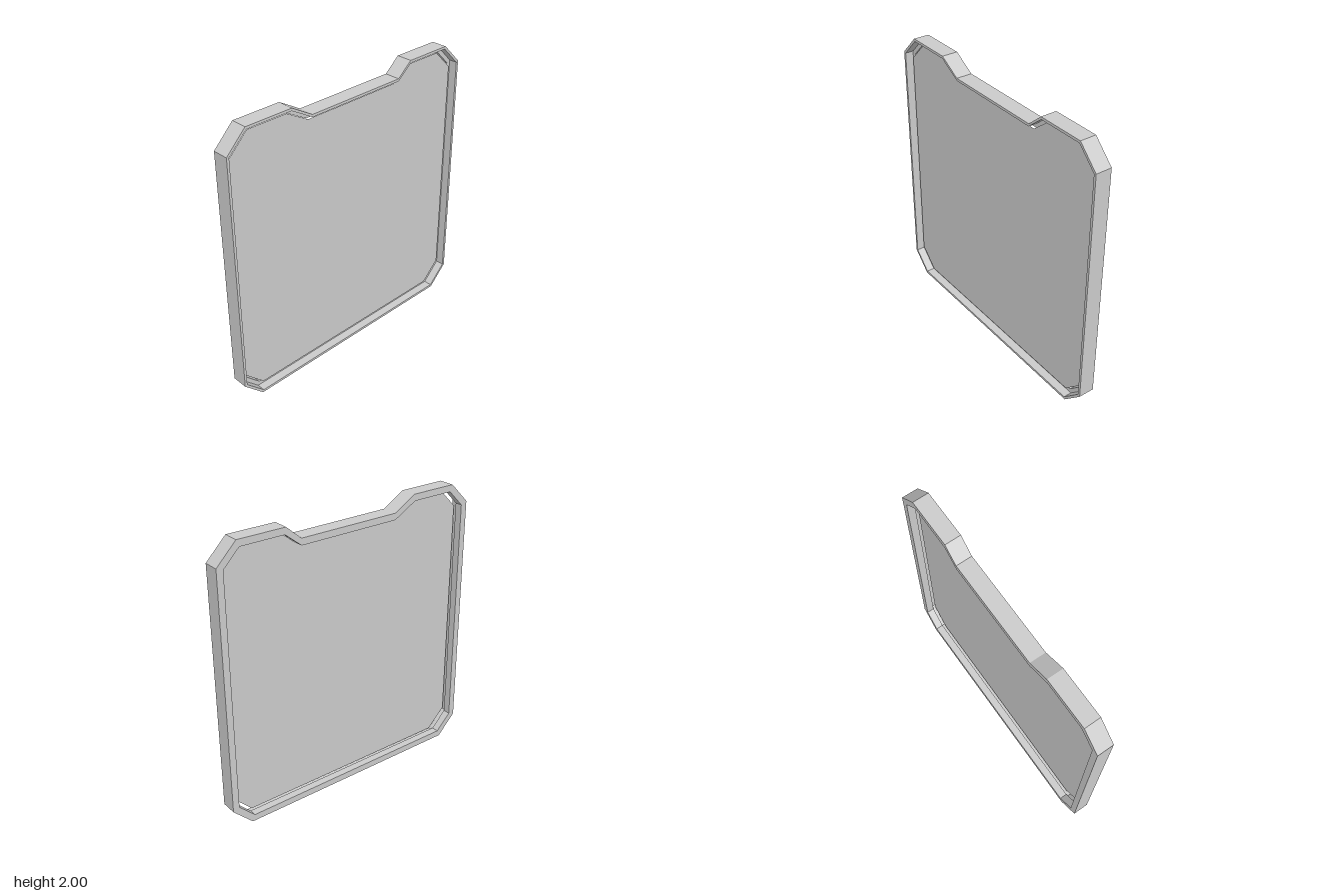
import * as THREE from 'three';

// Notched octagonal outline, counter-clockwise seen from the front.
// inset: distance inside the outer edge; cut: extra trimming of the corners.
function outline(inset, cut = 0) {
  const e = 1 - inset;
  const c = 0.857 - 0.41 * inset - cut;
  const notch = 1.905 - inset;
  return [
    [-e, 1 - c], [-c, inset], [c, inset], [e, 1 - c],
    [e, 1 + c], [c, 2 - inset],
    [0.51 + 0.2 * inset, 2 - inset], [0.4, notch],
    [-0.35, notch], [-0.51 - 0.2 * inset, 2 - inset],
    [-c, 2 - inset], [-e, 1 + c],
  ];
}

// Sweeps a closed profile of [inset, z] pairs around the outline, flat shaded.
function sweepProfile(profile) {
  const rings = profile.map(([inset, z]) => outline(inset).map(([x, y]) => [x, y, z]));
  const pos = [];
  rings.forEach((a, i) => {
    const b = rings[(i + 1) % rings.length];
    a.forEach((p, j) => {
      const k = (j + 1) % a.length;
      pos.push(...p, ...a[k], ...b[k], ...p, ...b[k], ...b[j]);
    });
  });
  const geo = new THREE.BufferGeometry();
  geo.setAttribute('position', new THREE.Float32BufferAttribute(pos, 3));
  geo.computeVertexNormals();
  return geo;
}

export function createModel() {
  const group = new THREE.Group();
  const half = 0.057, rim = 0.018, flange = 0.047, step = -0.003;

  // Frame: narrow rim in front, wider flange behind
  const frame = new THREE.Mesh(
    sweepProfile([
      [0, -half], [0, half], [rim, half],
      [rim, step], [flange, step], [flange, -half],
    ]),
    new THREE.MeshStandardMaterial({ color: 0xcccccc, flatShading: true }),
  );
  frame.name = 'frame';
  group.add(frame);

  // Thin sheet set inside the frame, leaving slits at the four corners
  const shape = new THREE.Shape(outline(flange, 0.022).map(([x, y]) => new THREE.Vector2(x, y)));
  const panel = new THREE.Mesh(
    new THREE.ShapeGeometry(shape),
    new THREE.MeshStandardMaterial({ color: 0xcccccc, side: THREE.DoubleSide }),
  );
  panel.name = 'panel';
  panel.position.z = 0.015;
  group.add(panel);

  return group;
}
